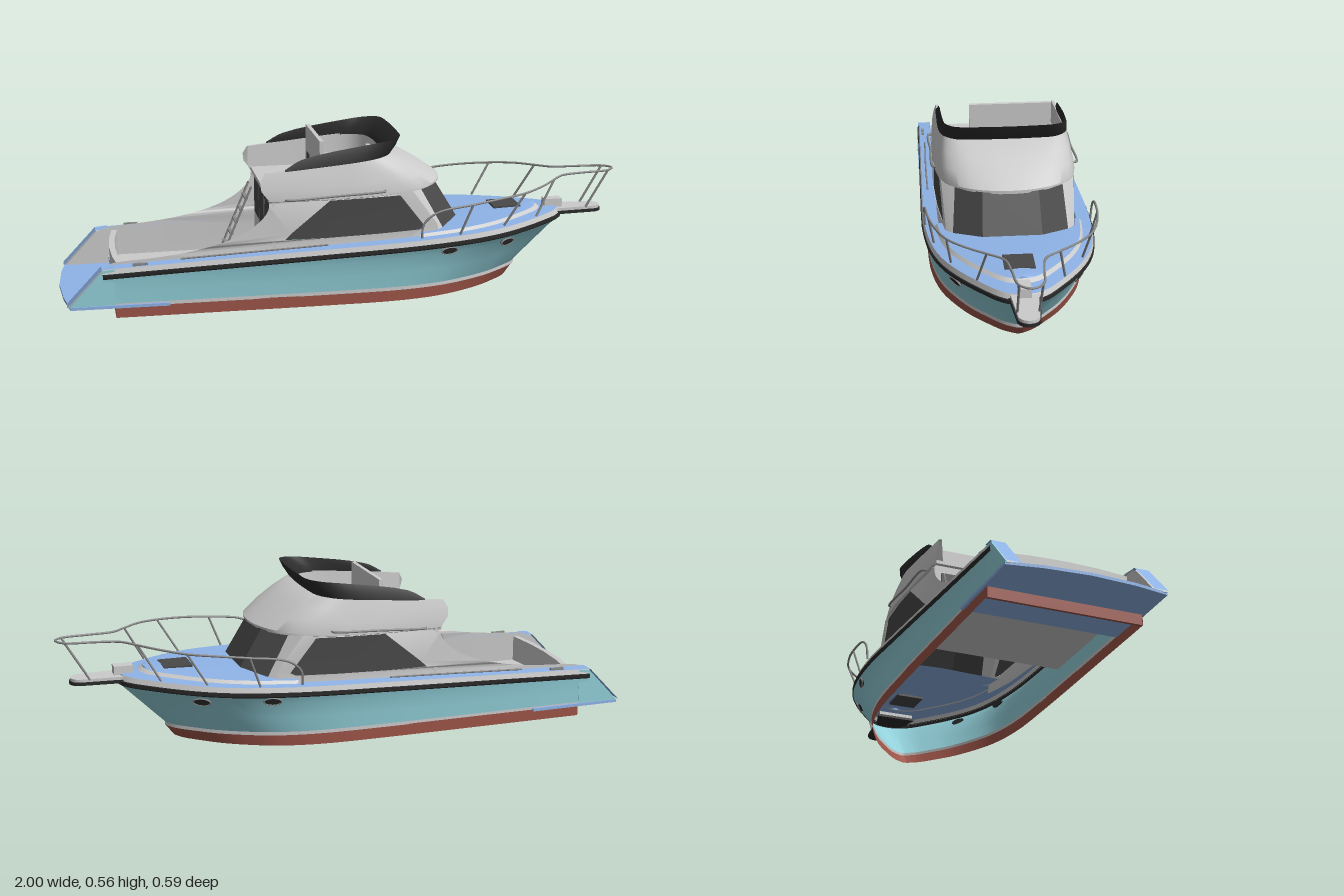
import * as THREE from 'three';
import { toCreasedNormals } from 'three/addons/utils/BufferGeometryUtils.js';

const mat = (color) => new THREE.MeshStandardMaterial({ color, side: THREE.DoubleSide });
const GREY = mat(0xcccccc), TEAL = mat(0x92d0da), BLUE = mat(0x8fb4e8), RED = mat(0x9c5448);
const BLACK = mat(0x2a2a2a), GLASS = mat(0x484848), METAL = mat(0x8a8a8a);
const V = (x, y, z) => new THREE.Vector3(x, y, z);

export function createModel() {
  const boat = new THREE.Group();
  boat.name = 'motorBoat';

  const add = (name, geo, m) => {
    const mesh = new THREE.Mesh(geo, m);
    mesh.name = name;
    boat.add(mesh);
  };
  const box = (name, m, x0, x1, y0, y1, z0, z1) => add(name,
    new THREE.BoxGeometry(x1 - x0, y1 - y0, z1 - z0).translate((x0 + x1) / 2, (y0 + y1) / 2, (z0 + z1) / 2), m);
  const tube = (name, pts, r = 0.004, n = 24) =>
    add(name, new THREE.TubeGeometry(new THREE.CatmullRomCurve3(pts), n, r, 6), METAL);

  // surface through rows of equally many points
  const loft = (name, m, rows) => {
    const n = rows[0].length, pos = [], idx = [];
    rows.forEach((r) => r.forEach((p) => pos.push(p.x, p.y, p.z)));
    for (let j = 0; j < rows.length - 1; j++) {
      for (let i = 0; i < n - 1; i++) {
        const a = j * n + i, b = a + n;
        idx.push(a, a + 1, b, b, a + 1, b + 1);
      }
    }
    const g = new THREE.BufferGeometry();
    g.setAttribute('position', new THREE.Float32BufferAttribute(pos, 3));
    g.setIndex(idx);
    add(name, toCreasedNormals(g, 0.6), m);
  };
  // smooth curve from the left stern round the bow to the right stern
  const around = (half, n = 64) => {
    const pts = half.map(([x, y, z]) => V(x, y, z));
    for (let i = half.length - 2; i >= 0; i--) pts.push(V(half[i][0], half[i][1], -half[i][2]));
    return new THREE.CatmullRomCurve3(pts).getPoints(n);
  };
  // flat outline in x/z given a thickness below its top
  const slab = (name, m, outline, top, thick) => {
    const s = new THREE.Shape(outline.map((p) => new THREE.Vector2(p.x, p.z)));
    add(name, new THREE.ExtrudeGeometry(s, { depth: thick, bevelEnabled: false })
      .rotateX(Math.PI / 2).translate(0, top, 0), m);
  };

  // hull stations: deck edge x, z and waterline x, z
  const stations = [
    [-0.86, 0.266, -0.86, 0.262], [-0.5, 0.275, -0.5, 0.265], [-0.1, 0.286, -0.1, 0.268],
    [0.2, 0.29, 0.15, 0.262], [0.4, 0.27, 0.3, 0.235], [0.52, 0.235, 0.4, 0.195],
    [0.62, 0.183, 0.49, 0.145], [0.7, 0.128, 0.55, 0.098], [0.76, 0.08, 0.602, 0.052],
    [0.785, 0.045, 0.622, 0.024], [0.795, 0, 0.632, 0]];
  const sheer = (x) => 0.14 + (x + 0.86) * 0.0436;
  const edge = around(stations.map((s) => [s[0], 0, s[1]]));
  const water = around(stations.map((s) => [s[2], 0, s[3]]));
  const ring = (s, dy) => edge.map((p) =>
    V(p.x > 0.2 ? 0.2 + (p.x - 0.2) * s : p.x, sheer(p.x) + dy, p.z * s));
  const line = (y, s = 1) => water.map((p) => V(p.x > 0 ? p.x * s : p.x, y, p.z));
  const top = ring(1, 0), low = line(0.05);
  // sides stay near vertical low down and flare out under the rub rail
  const flare = (f, fz) => low.map((p, i) => {
    const q = p.clone().lerp(top[i], f);
    return q.setZ(p.z + (top[i].z - p.z) * fz);
  });
  loft('hull', TEAL, [low, flare(0.4, 0.25), flare(0.8, 0.55), top]);
  loft('bootStripe', GREY, [line(0.038), low]);
  loft('bottomBand', RED, [line(0, 0.952), line(0.04)].map((r) =>
    r.map((p) => V(Math.max(p.x, -0.82), p.y, p.z))));
  box('bottomBandStern', RED, -0.82, -0.81, 0, 0.04, -0.26, 0.26);
  loft('rubRail', BLACK, [ring(1, -0.004), ring(1.01, 0), ring(1.01, 0.012), ring(0.99, 0.014)]);
  loft('gunwaleSide', GREY, [ring(1, 0.012), ring(0.985, 0.03)]);
  loft('sideDeck', BLUE, [ring(0.985, 0.03), ring(0.82, 0.032)]);

  // raised foredeck with a grey step round it
  const fore = (r) => r.filter((p, i) => edge[i].x > 0.2);
  const rim = fore(ring(0.845, 0.042));
  loft('foredeckStep', GREY, [fore(ring(0.872, 0.032)), rim]);
  loft('foredeck', BLUE, [rim, rim.map((p) => V(p.x, p.y + 0.008, 0))]);
  box('deckHatch', GLASS, 0.54, 0.64, 0.245, 0.259, -0.05, 0.05);

  // bow pulpit and windlass
  const pulpit = (s) => {
    const pts = [V(0.7, 0, 0.07 * s), V(0.79, 0, 0.046 * s)];
    for (let i = 0; i <= 12; i++) {
      const a = Math.PI / 2 - (i / 12) * Math.PI;
      pts.push(V(0.917 + Math.cos(a) * 0.036 * s, 0, Math.sin(a) * 0.036 * s));
    }
    return pts.concat([V(0.79, 0, -0.046 * s), V(0.7, 0, -0.07 * s)]);
  };
  slab('pulpit', GREY, pulpit(0.95), 0.238, 0.012);
  slab('pulpitEdge', BLACK, pulpit(1.05), 0.228, 0.011);
  box('windlass', GREY, 0.74, 0.805, 0.235, 0.268, -0.02, 0.02);

  // swim platform
  slab('swimPlatform', BLUE, [V(-0.64, 0, 0.274), V(-0.97, 0, 0.268), V(-0.99, 0, 0.15), V(-1, 0, 0),
    V(-0.99, 0, -0.15), V(-0.97, 0, -0.268), V(-0.64, 0, -0.274)], 0.046, 0.01);

  // cockpit
  box('cockpitFloor', GREY, -0.82, -0.28, 0.065, 0.075, -0.228, 0.228);
  const transom = (y, d) => [-1, -0.5, 0, 0.5, 1].map((k) => V(-0.825 + d + 0.02 * k * k, y, 0.226 * k));
  loft('transom', GREY, [transom(0.045, 0), transom(0.168, 0), transom(0.168, 0.02), transom(0.07, 0.02)]);

  // plan of the flybridge at the eave and at the coaming top
  const eaveHalf = [[-0.3, 0.235], [-0.1, 0.243], [0.1, 0.241], [0.22, 0.215], [0.29, 0.155], [0.325, 0.08], [0.335, 0]];
  const topHalf = [[-0.31, 0.218], [-0.1, 0.219], [0.03, 0.216], [0.09, 0.2], [0.125, 0.16], [0.137, 0.08], [0.139, 0]];
  const eaveY = (x) => 0.366 + Math.max(0, x) * 0.055;
  const eave = (dy, s) => around(eaveHalf.map(([x, z]) => [x > 0 ? x * s : x, eaveY(x) + dy, z * s]), 48);
  const coaming = (f, dx, dz) => around(topHalf.map(([x, z], i) => {
    const [ex, ez] = eaveHalf[i], aft = i === 0 ? -0.022 * Math.sin(f * Math.PI) : 0;
    const y0 = eaveY(ex) + 0.007, y1 = 0.459 + (x + 0.31) * 0.1;
    const bulge = 0.012 * Math.sin(f * Math.PI) * (i > 2 ? 1 : 0.3);
    return [ex + (x - ex) * f + aft + (i > 2 ? bulge - dx : 0), y0 + (y1 - y0) * f,
      Math.max(0, ez + (z - ez) * f + (z > 0 ? bulge * 0.5 : 0) - (z > 0.1 ? dz : 0))];
  }), 48);
  loft('flybridge', GREY, [eave(-0.004, 0.96), eave(0, 1), coaming(0, 0, 0), coaming(0.33, 0, 0),
    coaming(0.67, 0, 0), coaming(1, 0, 0), coaming(1, 0.012, 0.01),
    coaming(1, 0.017, 0.014).map((p) => V(p.x, 0.38, p.z))]);
  slab('flybridgeFloor', GREY, eave(0, 0.95), 0.384, 0.012);

  // dark wind visor: thin along the sides, thick across the front
  loft('visor', BLACK, [
    [[-0.24, 0.464, 0.222], [-0.17, 0.47, 0.224], [0.03, 0.488, 0.222], [0.09, 0.494, 0.205], [0.13, 0.498, 0.165], [0.143, 0.5, 0.08], [0.145, 0.5, 0]],
    [[-0.24, 0.468, 0.221], [-0.18, 0.49, 0.219], [0.04, 0.518, 0.219], [0.11, 0.524, 0.206], [0.15, 0.53, 0.172], [0.163, 0.532, 0.08], [0.165, 0.532, 0]],
    [[-0.24, 0.47, 0.219], [-0.18, 0.502, 0.213], [0.05, 0.543, 0.211], [0.12, 0.552, 0.204], [0.163, 0.557, 0.172], [0.175, 0.558, 0.08], [0.177, 0.558, 0]],
    [[-0.24, 0.468, 0.216], [-0.18, 0.488, 0.209], [0.03, 0.515, 0.207], [0.08, 0.52, 0.19], [0.12, 0.525, 0.155], [0.13, 0.525, 0.08], [0.132, 0.525, 0]],
    [[-0.24, 0.462, 0.215], [-0.17, 0.47, 0.211], [0.02, 0.488, 0.208], [0.07, 0.492, 0.188], [0.105, 0.496, 0.15], [0.118, 0.498, 0.08], [0.12, 0.498, 0]],
  ].map((r) => around(r, 48)));

  // flybridge seat and helm
  box('benchSeat', GREY, -0.09, 0.015, 0.384, 0.43, -0.18, 0.11);
  box('benchBack', GREY, -0.102, -0.088, 0.384, 0.538, -0.18, 0.11);
  for (let i = 0; i < 3; i++) box('benchSlot', GLASS, -0.104, -0.1, 0.41, 0.445, -0.15 + i * 0.09, -0.1 + i * 0.09);
  box('helmConsole', GREY, 0.105, 0.15, 0.384, 0.47, -0.12, 0.12);
  add('steeringWheel', new THREE.TorusGeometry(0.036, 0.004, 6, 20).rotateY(Math.PI / 2).rotateZ(-0.5).translate(0.09, 0.46, 0), METAL);

  // cabin sides running aft into the cockpit bulwarks, tapering at both ends
  const halfWidth = (x, y) => {
    const plan = x < -0.3 ? 0.232 + (x + 0.3) * 0.02 : 0.243 - 0.011 * Math.min(1, Math.max(0, (-0.1 - x) / 0.2));
    return plan - 0.2 * Math.max(0, x + 0.05) ** 2 - Math.max(0, y - 0.2) * 0.02;
  };
  const aftCurve = new THREE.CatmullRomCurve3([[-0.85, 0.17], [-0.82, 0.18], [-0.68, 0.191], [-0.55, 0.208], [-0.42, 0.243],
    [-0.34, 0.288], [-0.3, 0.335], [-0.298, 0.375]].map(([x, y]) => V(x, y, 0))).getPoints(28);
  const v2 = (a) => a.map(([x, y]) => new THREE.Vector2(x, y));
  const wall = new THREE.Shape([...v2([[-0.84, 0.07]]), ...aftCurve.map((p) => new THREE.Vector2(p.x, p.y)),
    ...v2([[-0.1, 0.376], [0.05, 0.377], [0.2, 0.378], [0.29, 0.255], [0.3, 0.2], [0.15, 0.185], [-0.1, 0.17],
      [-0.28, 0.16], [-0.28, 0.07]])]);
  const pane = v2([[-0.245, 0.23], [-0.225, 0.25], [-0.09, 0.362], [0.03, 0.364], [0.155, 0.366], [0.245, 0.25],
    [0.225, 0.24], [0.08, 0.236], [-0.1, 0.232]]);
  wall.holes.push(new THREE.Path(pane));
  const bend = (geo, side, out) => {
    const p = geo.attributes.position;
    for (let i = 0; i < p.count; i++) p.setZ(i, side * (halfWidth(p.getX(i), p.getY(i)) + out));
    geo.computeVertexNormals();
    return geo;
  };

  // cabin front: base and eave corners
  const base = [V(0.29, 0.23, 0.219), V(0.315, 0.235, 0.195), V(0.386, 0.25, 0.1)];
  const head = [V(0.2, 0.378, 0.226), V(0.235, 0.38, 0.182), V(0.305, 0.384, 0.095)];
  const flip = (p) => V(p.x, p.y, -p.z);
  loft('windshield', GLASS, [[base[1], base[2], flip(base[2]), flip(base[1])], [head[1], head[2], flip(head[2]), flip(head[1])]]);

  for (const s of [1, -1]) {
    const m = (x, y, z) => V(x, y, z * s);
    add('cabinSide', bend(new THREE.ShapeGeometry(wall), s, 0), GREY);
    add('sideWindow', bend(new THREE.ShapeGeometry(new THREE.Shape(pane)), s, -0.002), GLASS);
    loft('windshieldPillar', GREY, [base, head].map((r) => r.slice(0, 2).map((p) => m(p.x, p.y, p.z))));

    // stern quarter: teal outside, grey inside, sloping blue cap
    const quarter = new THREE.Shape(v2([[-0.975, 0.042], [-0.82, 0.042], [-0.82, 0.17], [-0.86, 0.166]]));
    for (const [name, m2, z0, depth] of [['sternQuarterInner', GREY, 0.222, 0.038], ['sternQuarterOuter', TEAL, 0.26, 0.005]]) {
      add(name, new THREE.ExtrudeGeometry(quarter, { depth, bevelEnabled: false })
        .translate(0, 0, s > 0 ? z0 : -z0 - depth), m2);
    }
    loft('sternCap', BLUE, [0.219, 0.267].map((z) => [m(-0.98, 0.046, z), m(-0.863, 0.17, z), m(-0.82, 0.174, z)]));

    // portholes on the flared hull side
    for (const [x, z, yaw] of [[0.32, 0.268, 0.24], [0.545, 0.199, 0.52]]) {
      const hole = new THREE.Group();
      hole.name = 'porthole';
      const glass = new THREE.Mesh(new THREE.CylinderGeometry(0.025, 0.025, 0.012, 20).rotateX(Math.PI / 2), BLACK);
      const trim = new THREE.Mesh(new THREE.TorusGeometry(0.027, 0.003, 6, 24), METAL);
      trim.position.z = 0.005;
      hole.add(glass, trim);
      hole.scale.set(1.1, 0.5, 1);
      hole.position.copy(m(x, 0.174, z));
      hole.rotation.set(0.35, s > 0 ? yaw : Math.PI - yaw, 0, 'YXZ');
      boat.add(hole);
    }
    // grab rails
    tube('flybridgeGrabRail', [m(-0.24, 0.37, 0.236), m(-0.238, 0.371, 0.248), m(-0.07, 0.379, 0.25), m(0.1, 0.387, 0.248), m(0.102, 0.387, 0.236)]);
    tube('sideDeckRail', [m(-0.6, 0.19, 0.25), m(-0.35, 0.203, 0.258), m(-0.1, 0.214, 0.262)], 0.003);
    box('sternCleat', METAL, -0.76, -0.71, 0.174, 0.184, s * 0.253 - 0.005, s * 0.253 + 0.005);

    // bow rail stanchions
    for (const [a, b] of [[[0.36, 0.225, 0.262], [0.4, 0.333, 0.28]], [[0.53, 0.235, 0.215], [0.6, 0.352, 0.232]],
      [[0.67, 0.24, 0.14], [0.74, 0.364, 0.115]], [[0.89, 0.235, 0.034], [0.97, 0.37, 0.036]]]) {
      tube('railStanchion', [m(...a), m(...b)], 0.004, 2);
    }
  }
  const railHalf = [[0.22, 0.225, 0.284], [0.225, 0.275, 0.287], [0.27, 0.312, 0.287], [0.4, 0.333, 0.28], [0.5, 0.344, 0.264],
    [0.6, 0.352, 0.232], [0.68, 0.36, 0.178], [0.74, 0.364, 0.115], [0.79, 0.367, 0.065], [0.87, 0.369, 0.05], [0.97, 0.37, 0.036], [0.996, 0.371, 0]];
  tube('bowRail', around(railHalf, 90), 0.004, 120);

  // cabin rear bulkhead with door and windows
  box('rearBulkhead', GREY, -0.285, -0.275, 0.07, 0.374, -0.23, 0.23);
  box('cabinDoor', GLASS, -0.289, -0.284, 0.09, 0.345, -0.07, 0.03);
  box('doorFrame', GREY, -0.291, -0.286, 0.18, 0.19, -0.07, 0.03);
  for (const z of [-0.2, 0.06]) box('rearWindow', GLASS, -0.289, -0.284, 0.22, 0.345, z, z + 0.12);

  // ladder to the flybridge
  for (const z of [-0.2, -0.12]) tube('ladderRail', [V(-0.42, 0.075, z), V(-0.31, 0.33, z)], 0.004, 2);
  for (let i = 1; i < 6; i++) {
    const f = i / 6;
    box('ladderRung', METAL, -0.426 + 0.11 * f, -0.414 + 0.11 * f, 0.072 + 0.255 * f, 0.078 + 0.255 * f, -0.2, -0.12);
  }
  return boat;
}
